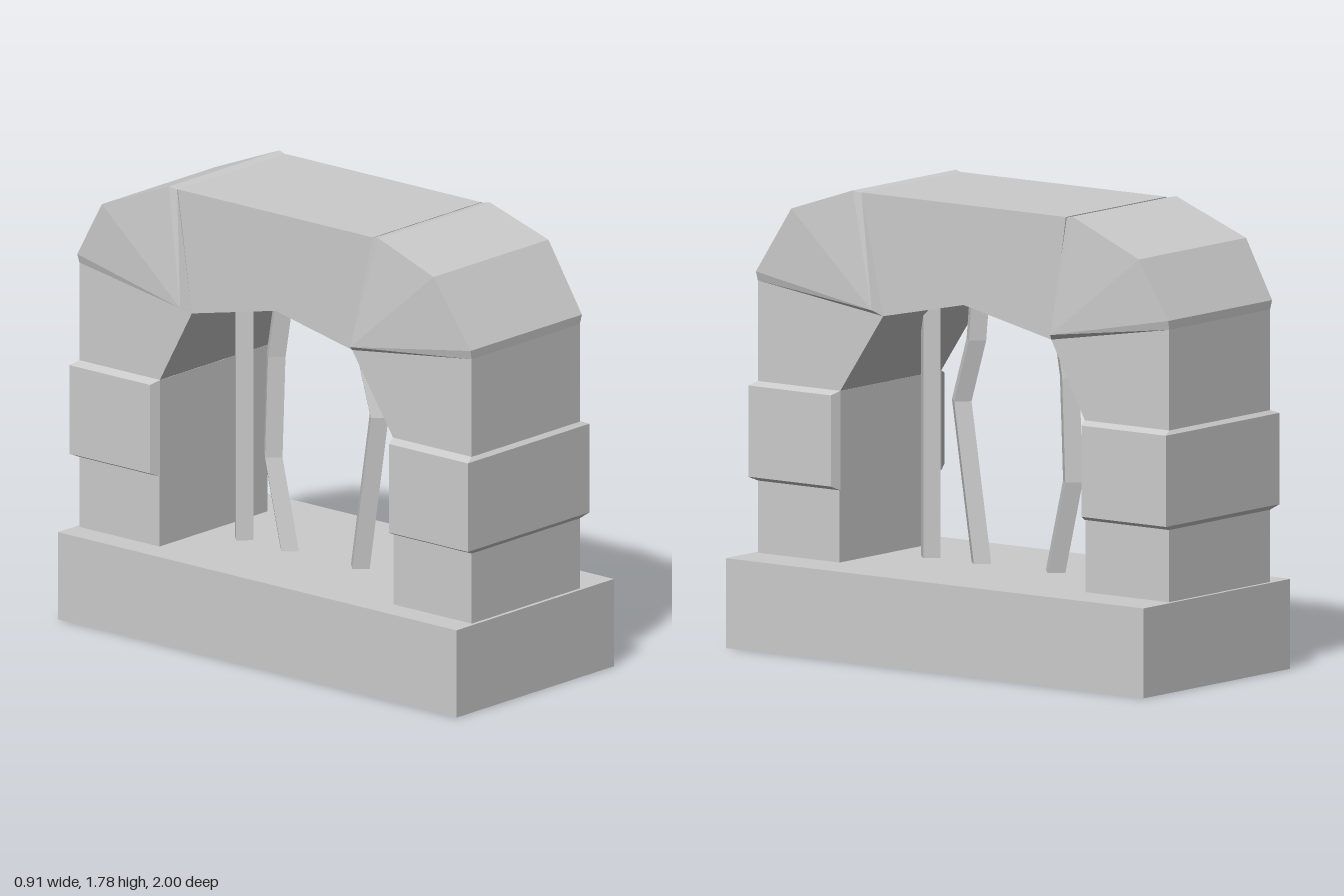
import * as THREE from 'three';
import { ConvexGeometry } from 'three/addons/geometries/ConvexGeometry.js';

const CX = -0.037;   // the arch sits slightly off the middle of its plinth
const HALF = 0.3125; // half thickness of the plain stones
const FLARE = 0.352; // half thickness of the proud stones

export function createModel() {
  const group = new THREE.Group();
  const material = new THREE.MeshStandardMaterial({ color: 0xcccccc, flatShading: true });
  const add = (name, geometry, x = CX) => {
    const mesh = new THREE.Mesh(geometry, material);
    mesh.name = name;
    mesh.position.x = x;
    group.add(mesh);
    return mesh;
  };

  // Side profile given as [z, y], extruded across x
  const slab = (points) => {
    const shape = new THREE.Shape(points.map(([z, y]) => new THREE.Vector2(z, y)));
    return new THREE.ExtrudeGeometry(shape, { depth: HALF * 2, bevelEnabled: false })
      .translate(0, 0, -HALF)
      .rotateY(-Math.PI / 2);
  };

  // Convex stone from [half width, y, z] points mirrored in x
  const stone = (points) => new ConvexGeometry(points.flatMap(([w, y, z]) =>
    [new THREE.Vector3(w, y, z), new THREE.Vector3(-w, y, z)]));

  // Square bar following [y, z] points, corners facing the axes
  const bar = (path) => {
    const g = new THREE.CylinderGeometry(0.047, 0.047, 1, 4, path.length - 1);
    const p = g.attributes.position;
    for (let i = 0; i < p.count; i++) {
      const row = Math.round((p.getY(i) + 0.5) * (path.length - 1));
      p.setY(i, path[row][0]);
      p.setZ(i, p.getZ(i) + path[row][1]);
    }
    g.computeVertexNormals();
    return g;
  };

  // Plinth
  add('plinth', new THREE.BoxGeometry(0.91, 0.345, 2).translate(0, 0.1725, 0), 0);

  // Each end: pillar, proud band and corner stone (s is the sign of z)
  const ends = [
    { name: 'front', s: 1, inner: 0.593, tip: [0.385, 1.31], shoulder: [0.81, 1.685], crown: [0.525, 1.78] },
    { name: 'back', s: -1, inner: 0.583, tip: [0.42, 1.298], shoulder: [0.855, 1.65], crown: [0.53, 1.78] },
  ];
  for (const { name, s, inner, tip, shoulder, crown } of ends) {
    add(name + 'Pillar', slab([
      [s * 0.985, 0.34], [s * 0.985, 1.39], [s * tip[0], tip[1]],
      [s * inner, 1.0], [s * inner, 0.34],
    ]));

    // Band with chamfered rims, flush with the pillar on its inner face
    const band = [];
    for (const [y, w, z] of [[0.622, HALF, 0.985], [0.64, FLARE, 1], [0.99, FLARE, 1], [1.004, HALF, 0.985]]) {
      band.push([w, y, s * z], [HALF, y, s * (inner - 0.004)]);
      if (w === FLARE) band.push([w, y, s * (inner + 0.012)]);
    }
    add(name + 'Band', stone(band));

    // Corner stone flaring toward the opening, chamfered against its neighbours
    add(name + 'CornerStone', stone([
      [HALF, tip[1], s * tip[0]],
      [FLARE, tip[1] + 0.025, s * (tip[0] + 0.025)],
      [HALF, 1.39, s * 0.985],
      [0.322, 1.425, s * 0.987],
      [0.332, shoulder[1], s * shoulder[0]],
      [0.32, crown[1], s * crown[0]],
      [HALF, 1.773, s * (crown[0] - 0.036)],
    ]));
  }

  // Lintel with a peaked underside
  add('lintel', slab([
    [0.49, 1.775], [0.385, 1.31], [0, 1.39], [-0.42, 1.298], [-0.49, 1.775],
  ]));

  // Two straight and two bent bars in the opening
  const bars = {
    frontStraightBar: [[0.34, 0.408], [1.33, 0.408]],
    frontBentBar: [[0.34, 0.165], [0.96, 0.26], [1.2, 0.19], [1.4, 0.172]],
    backBentBar: [[0.34, -0.188], [0.7, -0.272], [1.1, -0.257], [1.38, -0.21]],
    backStraightBar: [[0.34, -0.417], [1.33, -0.417]],
  };
  for (const [name, path] of Object.entries(bars)) add(name, bar([...path].reverse()).index
    ? bar(path) : bar(path), -0.05);

  return group;
}
